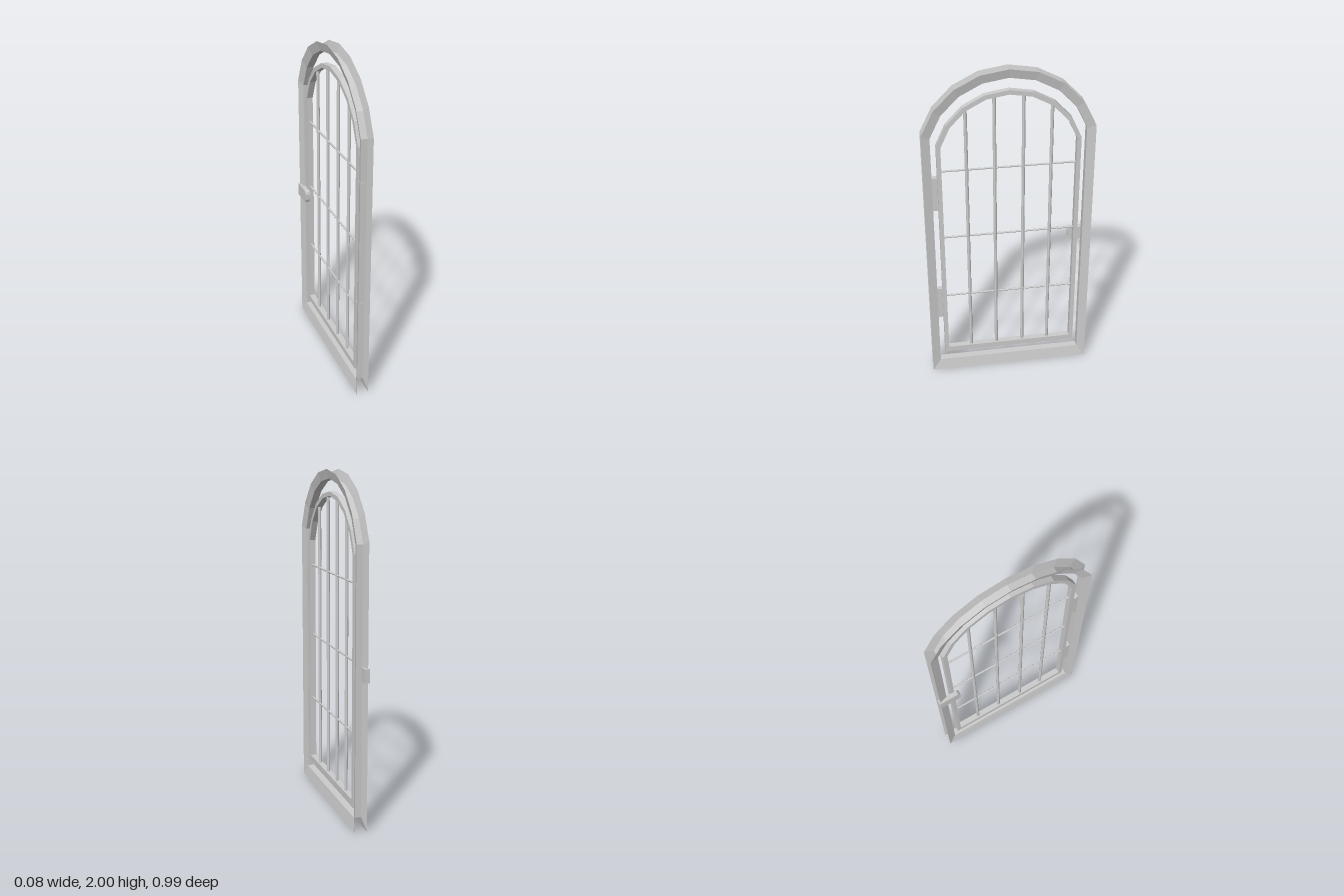
import * as THREE from 'three';

const metal = new THREE.MeshStandardMaterial({ color: 0xcccccc, flatShading: true });
const sheet = new THREE.MeshStandardMaterial({ color: 0xcccccc, flatShading: true, side: THREE.DoubleSide });

// Arched outline in (z, y): square foot, straight sides, segmental arch on top
function archLoop(halfWidth, bottom, centreY, radius, segments = 8) {
  const pts = [[halfWidth, bottom], [-halfWidth, bottom]];
  const end = Math.asin(halfWidth / radius);
  for (let i = 0; i <= segments; i++) {
    const a = -end + (2 * end * i) / segments;
    pts.push([radius * Math.sin(a), centreY + radius * Math.cos(a)]);
  }
  return pts;
}

// Skin a row of [outline, x] rings into a swept section
function loft(rings) {
  const pos = [], index = [];
  const n = rings[0][0].length;
  for (const [loop, x] of rings) for (const [z, y] of loop) pos.push(x, y, z);
  for (let r = 0; r < rings.length - 1; r++) {
    for (let i = 0; i < n; i++) {
      const j = (i + 1) % n;
      const a = r * n + i, b = r * n + j, c = b + n, d = a + n;
      index.push(a, b, c, a, c, d);
    }
  }
  const geo = new THREE.BufferGeometry();
  geo.setAttribute('position', new THREE.Float32BufferAttribute(pos, 3));
  geo.setIndex(index);
  const flat = geo.toNonIndexed();
  flat.computeVertexNormals();
  return flat;
}

export function createModel() {
  const group = new THREE.Group();
  const midX = 0.003;
  const add = (name, geo, x = 0, y = 0, z = 0, mat = metal) => {
    const mesh = new THREE.Mesh(geo, mat);
    mesh.name = name;
    mesh.position.set(x, y, z);
    group.add(mesh);
    return mesh;
  };

  // Fixed frame: thin channel with a splayed flange on each face
  const flange = archLoop(0.49, 0, 1.487, 0.513);
  const web = archLoop(0.44, 0.07, 1.487, 0.46);
  add('outerFrame', loft([[flange, 0.038], [web, 0.025], [web, -0.018], [flange, -0.034]]), 0, 0, 0.002, sheet);

  // Opening leaf: rectangular section
  const leafY = 1.449, leafInnerR = 0.4;
  const leafOut = archLoop(0.41, 0.125, leafY, 0.426);
  const leafIn = archLoop(0.385, 0.16, leafY, leafInnerR);
  const d = 0.018;
  add('leafFrame', loft([[leafOut, d], [leafIn, d], [leafIn, -d], [leafOut, -d], [leafOut, d]]), midX);

  // Vertical bars reach up into the arch
  for (const z of [-0.242, -0.082, 0.082, 0.242]) {
    const top = leafY + Math.sqrt(leafInnerR ** 2 - z * z);
    const h = top - 0.15;
    add('verticalBar', new THREE.CylinderGeometry(0.01, 0.01, h, 8), midX, 0.15 + h / 2, z);
  }

  // Horizontal bars
  for (const y of [0.55, 0.967, 1.404]) {
    add('horizontalBar', new THREE.CylinderGeometry(0.006, 0.006, 0.78, 8), midX, y, 0).rotation.x = Math.PI / 2;
  }

  // Hinges fill the gap between frame and leaf
  for (const y of [0.505, 1.265]) {
    add('hinge', new THREE.BoxGeometry(0.03, 0.21, 0.034), midX, y, 0.428);
  }

  // Latch with a chamfered thumb end, overlapping the frame
  const s = new THREE.Shape([
    [-0.495, 0.87], [-0.375, 0.87], [-0.364, 0.877], [-0.358, 0.893],
    [-0.358, 0.927], [-0.364, 0.943], [-0.375, 0.95], [-0.495, 0.95],
  ].map(([x, y]) => new THREE.Vector2(x, y)));
  const latch = new THREE.ExtrudeGeometry(s, { depth: 0.029, bevelEnabled: false });
  latch.rotateY(-Math.PI / 2);
  add('latch', latch, -0.013);

  return group;
}
